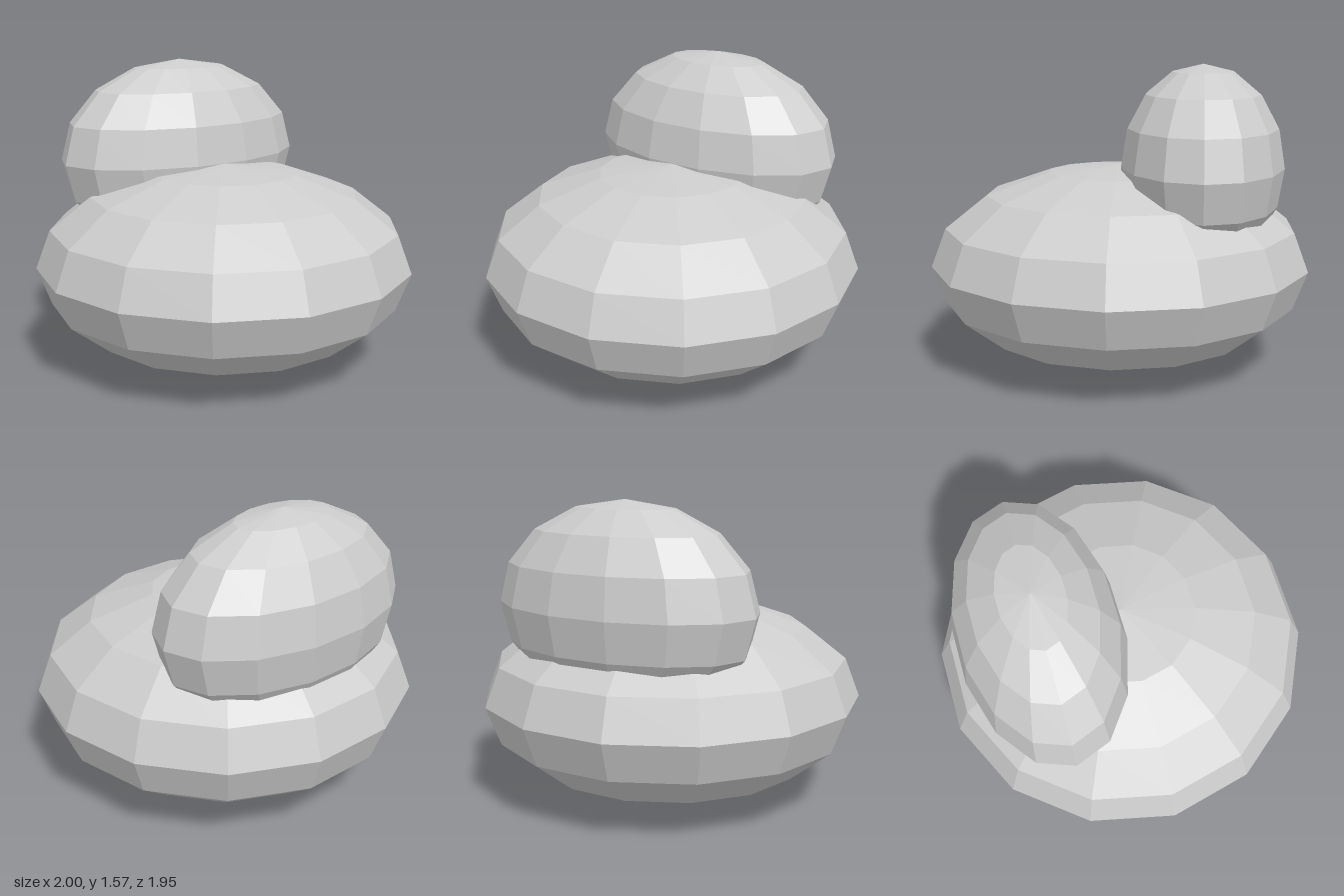
import * as THREE from 'three';

export function createModel() {
  const model = new THREE.Group();
  model.name = 'stackedStones';

  const stone = new THREE.MeshStandardMaterial({ color: 0xcccccc, flatShading: true });
  stone.name = 'stone grey';

  // Faceted ellipsoid with its size baked into the geometry
  function addStone(name, radii, centre) {
    const geometry = new THREE.SphereGeometry(1, 14, 8).scale(...radii);
    const mesh = new THREE.Mesh(geometry, stone);
    mesh.name = name;
    mesh.position.set(...centre);
    model.add(mesh);
  }

  // Wide flattened base
  addStone('lowerStone', [1, 0.525, 1], [0, 0.525, 0]);
  // Smaller stone resting towards the back
  addStone('upperStone', [0.712, 0.523, 0.428], [0, 1.05, -0.43]);

  return model;
}
